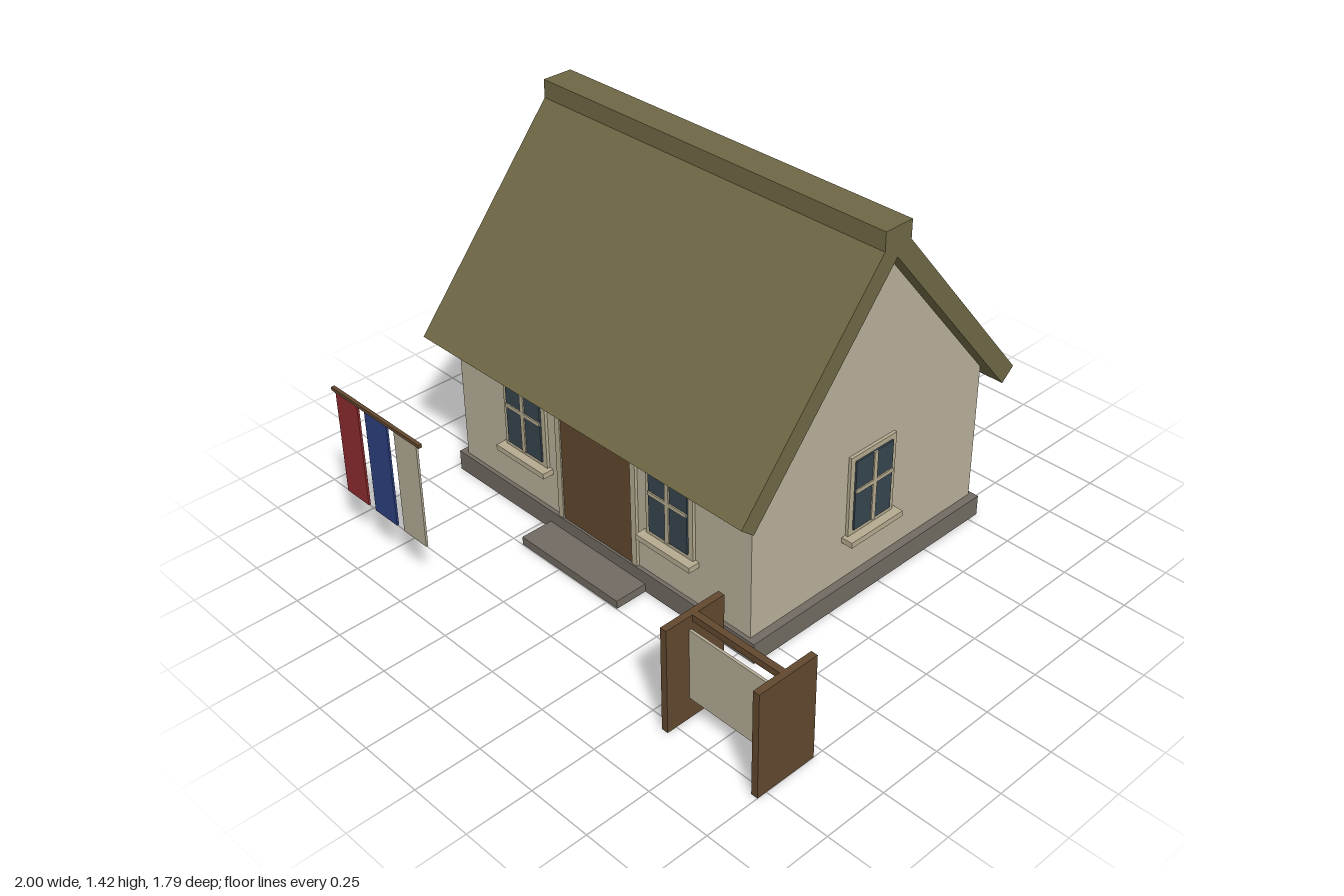
import * as THREE from 'three';

export function createModel() {
  const paint = (name, hex) => {
    const m = new THREE.MeshStandardMaterial({ color: hex });
    m.name = name;
    return m;
  };
  const plaster = paint('plaster', 0xb9b09a);
  const trim = paint('pale trim', 0xb5ab90);
  const thatch = paint('thatch', 0x6f6845);
  const stone = paint('stone', 0x716b62);
  const wood = paint('brown wood', 0x62482e);
  const glass = paint('window glass', 0x37454e);
  const red = paint('red cloth', 0x8e2c30);
  const blue = paint('blue cloth', 0x2c4180);
  const linen = paint('linen', 0xb5ac96);

  const model = new THREE.Group();
  model.name = 'cottage';

  // Box given by its limits on each axis
  const box = (parent, name, mat, [x0, x1], [y0, y1], [z0, z1]) => {
    const mesh = new THREE.Mesh(new THREE.BoxGeometry(x1 - x0, y1 - y0, z1 - z0), mat);
    mesh.position.set((x0 + x1) / 2, (y0 + y1) / 2, (z0 + z1) / 2);
    mesh.name = name;
    parent.add(mesh);
    return mesh;
  };

  const CX = -0.2, CZ = -0.215;   // centre of the house
  const HX = 0.74, HZ = 0.565;    // half length and half depth of the walls

  // Gable-shaped cross-section, run along x and centred on the house
  const gable = (name, mat, points, halfLength) => {
    const shape = new THREE.Shape(points.map(p => new THREE.Vector2(p[0], p[1])));
    const geo = new THREE.ExtrudeGeometry(shape, { depth: halfLength * 2, bevelEnabled: false });
    geo.rotateY(-Math.PI / 2).translate(CX + halfLength, 0, CZ);
    const mesh = new THREE.Mesh(geo, mat);
    mesh.name = name;
    model.add(mesh);
  };

  // Walls, plinth and doorstep
  gable('walls', plaster, [[-HZ, 0.08], [HZ, 0.08], [HZ, 0.631], [0, 1.308], [-HZ, 0.631]], HX);
  box(model, 'plinth', stone, [-0.972, 0.572], [0, 0.082], [-0.796, 0.366]);
  box(model, 'doorstep', stone, [-0.45, 0.05], [0, 0.033], [0.366, 0.498]);

  // Thatched roof with its ridge cap
  gable('roof', thatch, [
    [0.62, 0.565], [0.675, 0.612], [0.062, 1.348],
    [-0.062, 1.348], [-0.675, 0.612], [-0.62, 0.565], [0, 1.308],
  ], 0.8);
  box(model, 'ridgeCap', thatch, [-1, 0.6], [1.348, 1.418], [CZ - 0.062, CZ + 0.062]);

  // Door with its frame
  const front = CZ + HZ;
  box(model, 'door', wood, [-0.38, -0.02], [0.082, 0.59], [front, front + 0.007]);
  for (const x of [-0.405, -0.02]) {
    box(model, 'doorJamb', trim, [x, x + 0.025], [0.082, 0.61], [front, front + 0.012]);
  }
  box(model, 'doorHead', trim, [-0.38, -0.02], [0.59, 0.61], [front, front + 0.012]);

  // Window facing +z, turned and placed against a wall
  const addWindow = (x, z, turn) => {
    const g = new THREE.Group();
    g.name = 'window';
    box(g, 'windowFrame', trim, [-0.113, 0.113], [0.26, 0.58], [0, 0.012]);
    box(g, 'windowPane', glass, [-0.092, 0.092], [0.28, 0.56], [0.012, 0.019]);
    box(g, 'verticalBar', trim, [-0.009, 0.009], [0.28, 0.56], [0.019, 0.024]);
    box(g, 'crossBar', trim, [-0.092, 0.092], [0.433, 0.448], [0.019, 0.024]);
    box(g, 'windowSill', trim, [-0.13, 0.13], [0.238, 0.26], [0, 0.046]);
    g.position.set(x, 0, z);
    g.rotation.y = turn;
    model.add(g);
  };
  for (const side of [-1, 1]) {
    addWindow(CX + side * 0.37, front, 0);
    addWindow(CX + side * 0.37, CZ - HZ, Math.PI);
    addWindow(CX + side * HX, CZ, side * Math.PI / 2);
  }

  // Wooden stand with a hanging linen panel
  const stand = new THREE.Group();
  stand.name = 'stand';
  for (const x of [0.582, 0.974]) {
    box(stand, 'standSide', wood, [x, x + 0.026], [0, 0.414], [0.54, 0.788]);
  }
  box(stand, 'standRail', wood, [0.608, 0.974], [0.389, 0.414], [0.652, 0.677]);
  box(stand, 'standPanel', linen, [0.608, 0.974], [0.085, 0.362], [0.682, 0.692]);
  model.add(stand);

  // Three cloths hanging from a pole
  const line = new THREE.Group();
  line.name = 'clothLine';
  box(line, 'pole', wood, [-0.942, -0.45], [0.61, 0.623], [0.882, 0.896]);
  [red, blue, linen].forEach((mat, i) => {
    const x = -0.922 + i * 0.165;
    box(line, 'cloth', mat, [x, x + 0.124], [0.195, 0.61], [0.885, 0.893]);
  });
  model.add(line);

  return model;
}
